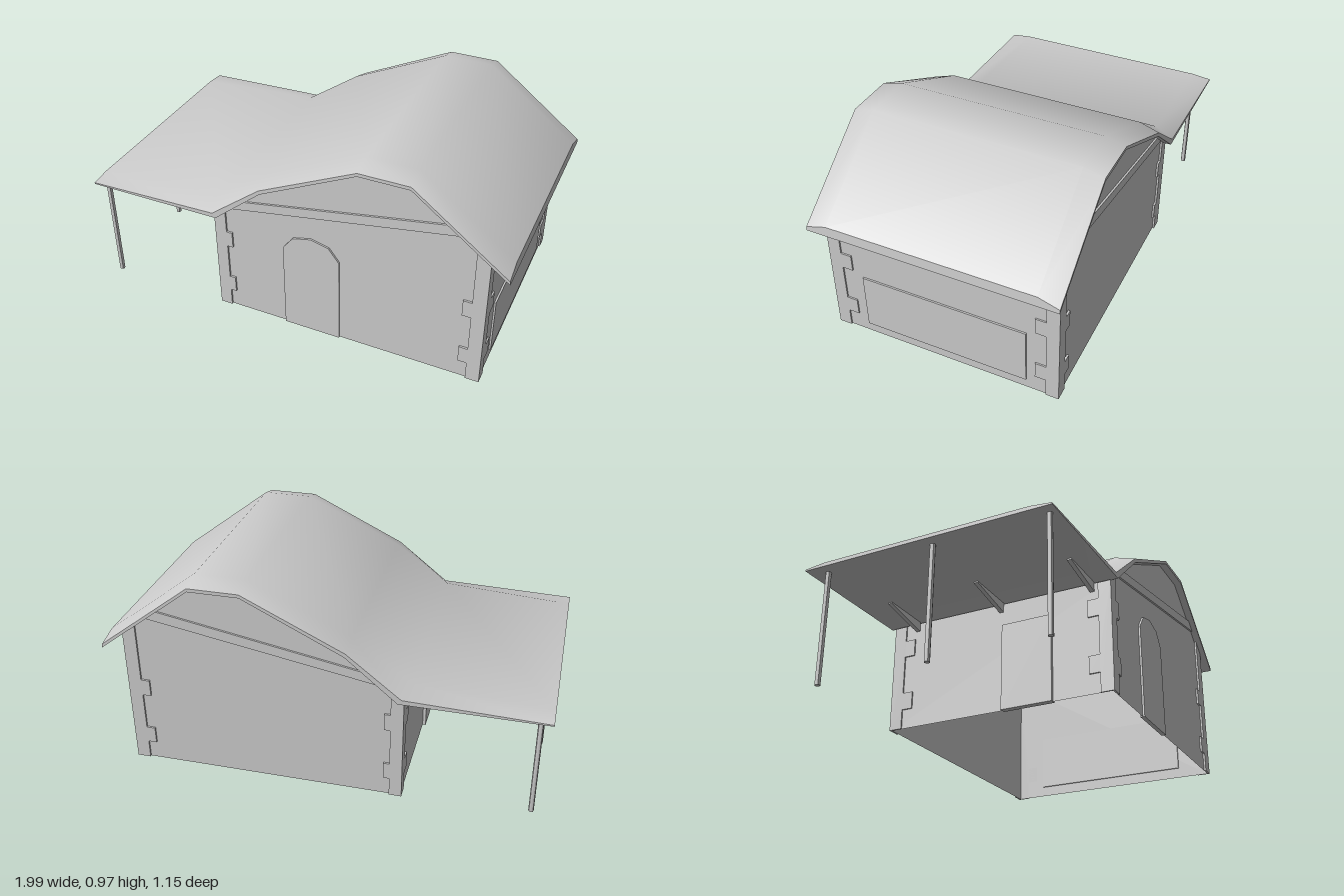
import * as THREE from 'three';
import { toCreasedNormals } from 'three/addons/utils/BufferGeometryUtils.js';

const grey = new THREE.MeshStandardMaterial({ color: 0xcccccc });
const thin = new THREE.MeshStandardMaterial({ color: 0xcccccc, side: THREE.DoubleSide });

// Wall planes, measured from the model's centre
const LEFT = 0.895, RIGHT = -0.365, FRONT = 0.54, BACK = -0.532;

// Roof profile, from the lean-to edge over the ridge to the far eave
const roofTop = [[-1, 0.53], [-0.39, 0.57], [-0.13, 0.755], [0.33, 0.97], [0.56, 0.97], [0.985, 0.645]];
const roofUnder = [[-1, 0.513], [-0.35, 0.515], [-0.12, 0.71], [0.33, 0.93], [0.56, 0.93], [0.99, 0.6]];

function underAt(x) {
  for (let i = 1; i < roofUnder.length; i++) {
    const [x0, y0] = roofUnder[i - 1], [x1, y1] = roofUnder[i];
    if (x <= x1) return y0 + (y1 - y0) * (x - x0) / (x1 - x0);
  }
  return 0.6;
}

function polygon(points) {
  return new THREE.Shape(points.map(([x, y]) => new THREE.Vector2(x, y)));
}

// Roof shell lofted along z, thinned towards both gable ends
function roofGeometry() {
  const stations = [[-0.575, 0.4], [-0.48, 1], [0.48, 1], [0.575, 0.4]];
  const n = roofTop.length, ring = 2 * n, pos = [], index = [];
  for (const [z, t] of stations) {
    roofTop.forEach(([x, y], i) => {
      const [ux, uy] = roofUnder[i];
      pos.push(ux + (x - ux) * t, uy + (y - uy) * t, z);
    });
    for (let i = n - 1; i >= 0; i--) pos.push(...roofUnder[i], z);
  }
  const quad = (a, b, c, d) => index.push(a, b, c, a, c, d);
  for (let k = 0; k < stations.length - 1; k++) {
    for (let i = 0; i < ring; i++) {
      const j = (i + 1) % ring, a = k * ring, b = a + ring;
      quad(a + i, b + i, b + j, a + j);
    }
  }
  const end = (stations.length - 1) * ring;
  for (let i = 0; i < n - 1; i++) {
    const u = ring - 1 - i;
    quad(end + u, end + u - 1, end + i + 1, end + i);
    quad(i, i + 1, u - 1, u);
  }
  const geo = new THREE.BufferGeometry();
  geo.setAttribute('position', new THREE.Float32BufferAttribute(pos, 3));
  geo.setIndex(index);
  return toCreasedNormals(geo, 0.75);
}

// Toothed corner stone strip; dir points from the corner into the wall
function quoinShape(edge, dir, width, tooth, topEdge, topInner) {
  const a = edge + dir * width, b = a + dir * tooth;
  return polygon([
    [edge, 0], [a, 0], [a, 0.09], [b, 0.09], [b, 0.17], [a, 0.17],
    [a, 0.35], [b, 0.35], [b, 0.43], [a, 0.43], [a, topInner], [edge, topEdge],
  ]);
}

export function createModel() {
  const group = new THREE.Group();
  const add = (name, geo, mat = grey) => {
    const mesh = new THREE.Mesh(geo, mat);
    mesh.name = name;
    group.add(mesh);
    return mesh;
  };
  const slab = (name, shape, depth) =>
    add(name, new THREE.ExtrudeGeometry(shape, { depth, bevelEnabled: false, curveSegments: 4 }));

  add('roof', roofGeometry());

  // Gable walls
  const gable = polygon([
    [RIGHT, 0], [LEFT, 0], [LEFT, underAt(LEFT)],
    ...roofUnder.slice(2, 5).reverse(), [RIGHT, 0.51],
  ]);
  add('frontWall', new THREE.ShapeGeometry(gable), thin).position.z = FRONT;
  add('backWall', new THREE.ShapeGeometry(gable), thin).position.z = BACK;

  // Side walls
  for (const [name, x, h, turn] of [['leftWall', LEFT, underAt(LEFT), 1], ['rightWall', RIGHT, 0.51, -1]]) {
    const wall = add(name, new THREE.PlaneGeometry(FRONT - BACK, h), thin);
    wall.rotation.y = turn * Math.PI / 2;
    wall.position.set(x, h / 2, (FRONT + BACK) / 2);
  }

  // Corner stones and slanted beam on both gables
  for (const [side, z] of [['front', FRONT], ['back', BACK - 0.009]]) {
    const stones = [
      quoinShape(-0.37, 1, 0.055, 0.028, 0.5, 0.545),
      quoinShape(0.902, -1, 0.062, 0.04, underAt(0.902), underAt(0.84)),
    ];
    for (const s of stones) slab(side + 'CornerStones', s, 0.009).position.z = z;
    const beam = polygon([[-0.3, 0.565], [0.785, 0.755], [0.735, 0.795], [-0.235, 0.62]]);
    slab(side + 'GableBeam', beam, 0.009).position.z = z;
  }

  // Corner stones on the side walls
  for (const [side, x, turn, h] of [['left', LEFT, 1, 0.66], ['right', RIGHT, -1, 0.505]]) {
    for (const [z, into] of [[0.549, -1], [-0.541, 1]]) {
      const shape = quoinShape(-turn * z, -turn * into, 0.06, 0.05, h, h);
      const stones = slab(side + 'CornerStones', shape, 0.007);
      stones.rotation.y = turn * Math.PI / 2;
      stones.position.x = x;
    }
  }

  // Arched front door
  const door = new THREE.Shape();
  door.moveTo(-0.03, 0);
  door.lineTo(0.24, 0);
  door.lineTo(0.24, 0.435);
  door.bezierCurveTo(0.215, 0.55, -0.005, 0.55, -0.03, 0.435);
  door.closePath();
  slab('frontDoor', door, 0.02).position.z = FRONT - 0.011;

  // Side door under the lean-to and wide shutter on the opposite wall
  const box = (name, w, h, d, x, y, z) =>
    add(name, new THREE.BoxGeometry(w, h, d)).position.set(x, y, z);
  box('sideDoor', 0.03, 0.4, 0.24, RIGHT, 0.2, 0.15);
  box('sideShutter', 0.016, 0.275, 0.78, LEFT, 0.1875, 0);

  // Lean-to posts and wall brackets
  for (const z of [-0.495, 0.02, 0.54]) {
    const post = add('leanToPost', toCreasedNormals(new THREE.CylinderGeometry(0.012, 0.012, 0.515, 8), 0.9));
    post.position.set(-0.945, 0.2575, z);
  }
  const bracket = polygon([[-0.6, 0.508], [-0.365, 0.47], [-0.365, 0.516], [-0.6, 0.516]]);
  for (const z of [-0.42, 0.02, 0.46]) slab('leanToBracket', bracket, 0.02).position.z = z - 0.01;

  return group;
}
